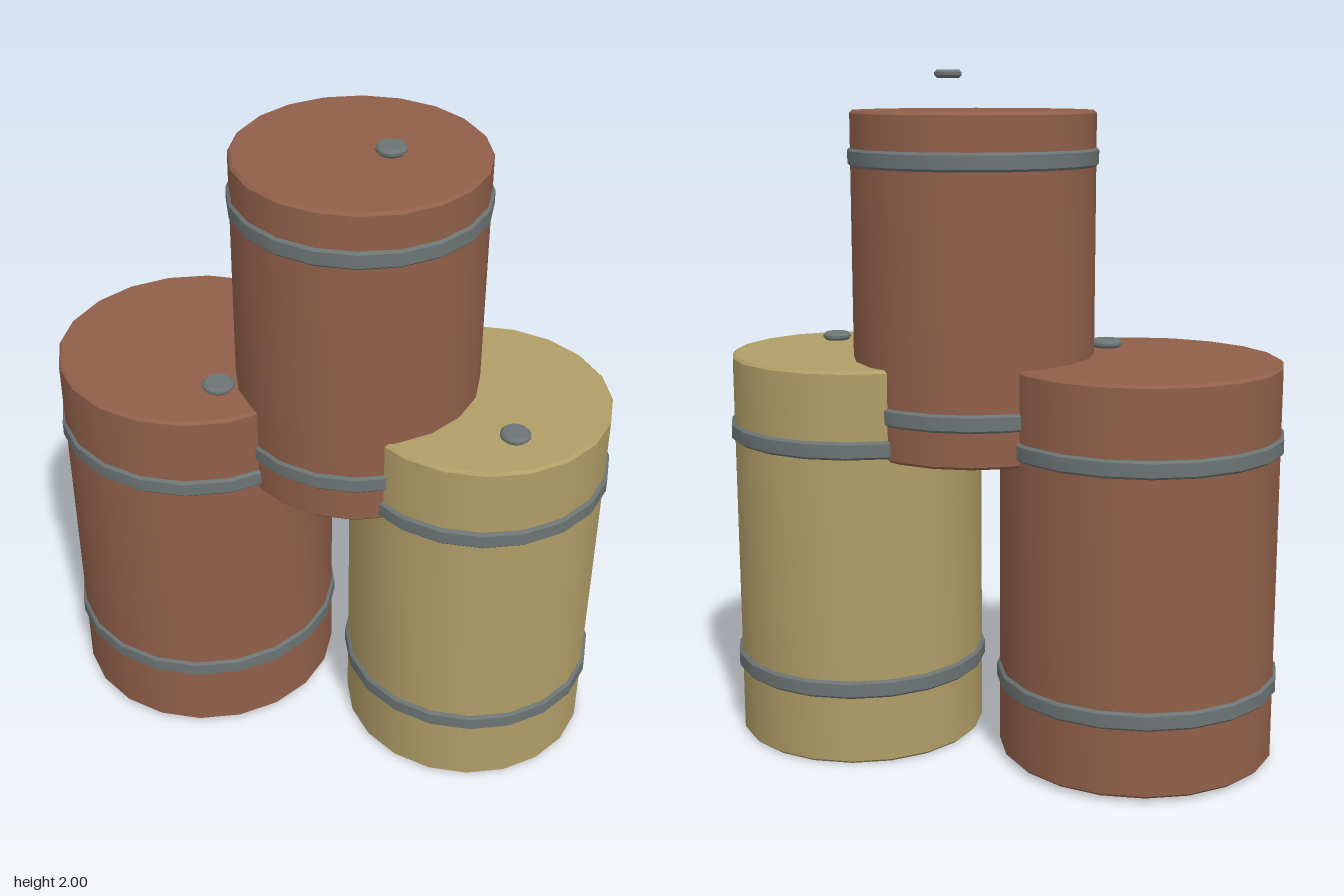
import * as THREE from 'three';
import { toCreasedNormals } from 'three/addons/utils/BufferGeometryUtils.js';

const BROWN = new THREE.MeshStandardMaterial({ color: 0x91604a });
const OCHRE = new THREE.MeshStandardMaterial({ color: 0xb19d67 });
const STEEL = new THREE.MeshStandardMaterial({ color: 0x6c7474 });

// Revolve a profile of [radius, y] pairs, smooth round the side, sharp at the rims
function turned(name, profile, sides, material) {
  const points = profile.map(([r, y]) => new THREE.Vector2(r, y));
  const geometry = toCreasedNormals(new THREE.LatheGeometry(points, sides), 0.6);
  const mesh = new THREE.Mesh(geometry, material);
  mesh.name = name;
  return mesh;
}

// Closed disc with chamfered edges, standing on y0
function disc(name, r, y0, y1, bevel, sides, material) {
  return turned(name, [
    [0, y0], [r - bevel, y0], [r, y0 + bevel],
    [r, y1 - bevel], [r - bevel, y1], [0, y1],
  ], sides, material);
}

function barrel({ name, x, z, r, bottom, top, hoops, hoopRadius, bung, material }) {
  const group = new THREE.Group();
  group.name = name;
  group.position.set(x, 0, z);
  group.add(disc('drumBody', r, bottom, top, 0.008, 20, material));

  // Steel hoops round the body
  for (const y of hoops) {
    const h = 0.026, b = 0.007, inner = r - 0.015;
    const hoop = turned('hoop', [
      [inner, -h], [hoopRadius - b, -h], [hoopRadius, b - h],
      [hoopRadius, h - b], [hoopRadius - b, h], [inner, h], [inner, -h],
    ], 20, STEEL);
    hoop.position.y = y;
    group.add(hoop);
  }

  // Round cap above the lid
  const cap = disc('bungCap', bung.r, -0.012, 0.012, 0.008, 16, STEEL);
  cap.position.set(bung.x - x, bung.y, bung.z - z);
  group.add(cap);
  return group;
}

export function createModel() {
  const model = new THREE.Group();
  model.name = 'barrelStack';
  model.add(
    barrel({
      name: 'rightBarrel', x: -0.42, z: 0.007, r: 0.407, bottom: 0.016, top: 1.184,
      hoops: [0.244, 0.956], hoopRadius: 0.416, material: BROWN,
      bung: { x: -0.265, y: 1.195, z: 0.195, r: 0.047 },
    }),
    barrel({
      name: 'leftBarrel', x: 0.448, z: -0.041, r: 0.374, bottom: 0.003, top: 1.173,
      hoops: [0.233, 0.946], hoopRadius: 0.384, material: OCHRE,
      bung: { x: 0.59, y: 1.184, z: 0.128, r: 0.043 },
    }),
    barrel({
      name: 'upperBarrel', x: 0.081, z: -0.022, r: 0.355, bottom: 0.909, top: 1.886,
      hoops: [1.04, 1.754], hoopRadius: 0.363, material: BROWN,
      bung: { x: 0.217, y: 1.988, z: 0.14, r: 0.041 },
    }),
  );
  return model;
}
